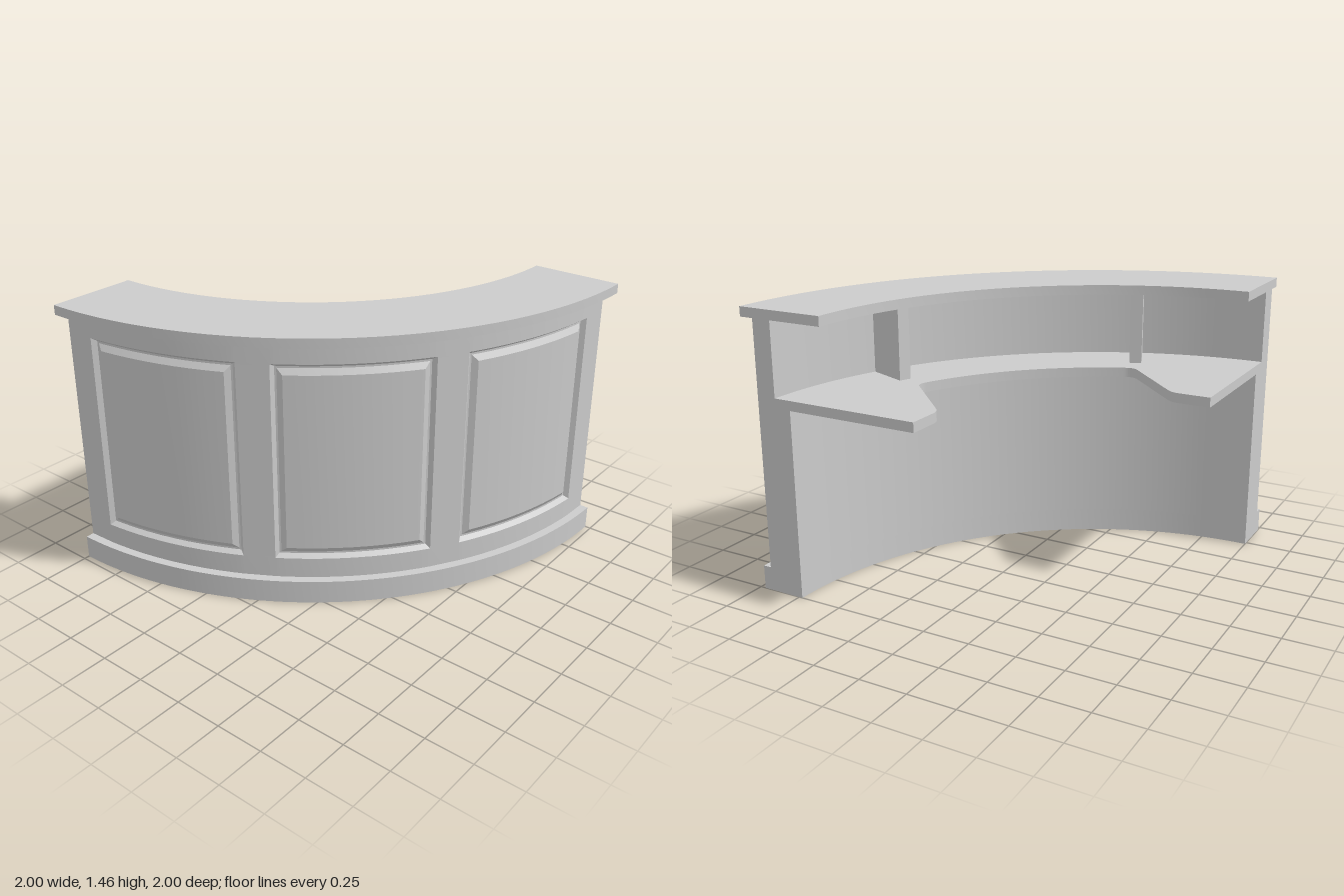
import * as THREE from 'three';
import { toCreasedNormals } from 'three/addons/utils/BufferGeometryUtils.js';

const PI = Math.PI;
const material = new THREE.MeshStandardMaterial({ color: 0xcccccc });
const FACE_R = 1.925; // outer radius of the panelled front
const rad = THREE.MathUtils.degToRad;

// The counter is a quarter ring about the point x = 1, z = -1.
// Plan shapes are drawn in (x, -z) and extruded upwards.
function slab(shape, y0, y1, segments) {
  const g = new THREE.ExtrudeGeometry(shape, { depth: y1 - y0, bevelEnabled: false, curveSegments: segments });
  g.rotateX(-PI / 2);
  g.translate(0, y0, 0);
  return toCreasedNormals(g, 0.5);
}

function ring(r0, r1, y0, y1, segments = 32) {
  const s = new THREE.Shape();
  s.absarc(1, 1, r1, PI, 1.5 * PI, false);
  s.absarc(1, 1, r0, 1.5 * PI, PI, true);
  return slab(s, y0, y1, segments);
}

// Work shelf with a flared wing at each end
function shelfGeometry() {
  const s = new THREE.Shape();
  s.absarc(1, 1, 1.82, PI, 1.5 * PI, false);
  s.lineTo(1, -0.02);
  s.lineTo(0.84, -0.02);
  s.quadraticCurveTo(0.8, -0.02, 0.77, -0.05);
  s.lineTo(0.48, -0.34);
  s.quadraticCurveTo(0.45, -0.37, 0.4, -0.347);
  s.absarc(1, 1, 1.475, 1.5 * PI - rad(24), PI + rad(24), true);
  s.quadraticCurveTo(-0.37, 0.45, -0.34, 0.48);
  s.lineTo(-0.05, 0.77);
  s.quadraticCurveTo(-0.02, 0.8, -0.02, 0.84);
  s.lineTo(-0.02, 1);
  return slab(s, 0.98, 1.03, 32);
}

// Curved front with three raised panels, each set in a groove
function panelledFaceGeometry() {
  const panels = [[4.5, 28.2], [33.1, 56.9], [61.8, 85.5]].map(p => p.map(rad));
  const [yLow, yHigh] = [0.235, 1.3];
  const steps = [[0, 0], [0.018, 0.025], [0.028, 0.025], [0.058, 0.006]]; // distance in, depth

  const depthAt = (a, y) => {
    const panel = panels.find(p => a >= p[0] && a <= p[1]);
    if (!panel) return 0;
    const d = Math.min((a - panel[0]) * FACE_R, (panel[1] - a) * FACE_R, y - yLow, yHigh - y);
    if (d <= 0) return 0;
    for (let i = 1; i < steps.length; i++) {
      const [d0, h0] = steps[i - 1], [d1, h1] = steps[i];
      if (d < d1) return h0 + (h1 - h0) * (d - d0) / (d1 - d0);
    }
    return steps[steps.length - 1][1];
  };

  // Grid lines follow the groove edges
  const insets = steps.map(s => s[0]);
  const rows = [0.125, ...insets.map(d => yLow + d), ...insets.map(d => yHigh - d).reverse(), 1.41];
  const angles = [0];
  for (const [a0, a1] of panels) {
    const start = insets.map(d => a0 + d / FACE_R);
    const end = insets.map(d => a1 - d / FACE_R).reverse();
    angles.push(...start);
    for (let i = 1; i < 8; i++) angles.push(THREE.MathUtils.lerp(start[3], end[0], i / 8));
    angles.push(...end);
  }
  angles.push(PI / 2);

  const point = (a, y, r) => [1 - r * Math.sin(a), y, -1 + r * Math.cos(a)];
  // The first and last columns turn back into the wall to close its ends
  const columns = [
    rows.map(y => point(0, y, 1.88)),
    ...angles.map(a => rows.map(y => point(a, y, FACE_R - depthAt(a, y)))),
    rows.map(y => point(PI / 2, y, 1.88)),
  ];
  const radius = p => Math.hypot(p[0] - 1, p[2] + 1);
  const positions = [];
  for (let i = 0; i + 1 < columns.length; i++) {
    for (let j = 0; j + 1 < rows.length; j++) {
      const a = columns[i][j], b = columns[i][j + 1];
      const c = columns[i + 1][j + 1], d = columns[i + 1][j];
      // Split along the mitre at panel corners
      const alongAC = Math.abs(radius(a) - radius(c)) >= Math.abs(radius(b) - radius(d));
      const tris = alongAC ? [a, b, c, a, c, d] : [a, b, d, b, c, d];
      positions.push(...tris.flat());
    }
  }
  const g = new THREE.BufferGeometry();
  g.setAttribute('position', new THREE.Float32BufferAttribute(positions, 3));
  return toCreasedNormals(g, 0.5);
}

export function createModel() {
  const model = new THREE.Group();
  model.name = 'curvedReceptionCounter';
  const add = (name, geometry) => {
    const mesh = new THREE.Mesh(geometry, material);
    mesh.name = name;
    model.add(mesh);
    return mesh;
  };

  add('plinth', ring(1.73, 1.97, 0, 0.125));
  add('lowerWall', ring(1.73, 1.885, 0.125, 0.98));
  add('upperWall', ring(1.82, 1.885, 0.98, 1.41));
  add('panelledFront', panelledFaceGeometry());
  add('workShelf', shelfGeometry());
  add('counterTop', ring(1.525, 2, 1.41, 1.46, 16));

  // Upright supports between the shelf and the counter top
  for (const degrees of [21.8, 68.2]) {
    const a = rad(degrees), r = 1.708;
    const support = add('topSupport', new THREE.BoxGeometry(0.064, 0.38, 0.246));
    support.position.set(1 - r * Math.sin(a), 1.22, -1 + r * Math.cos(a));
    support.rotation.y = -a;
  }
  return model;
}
